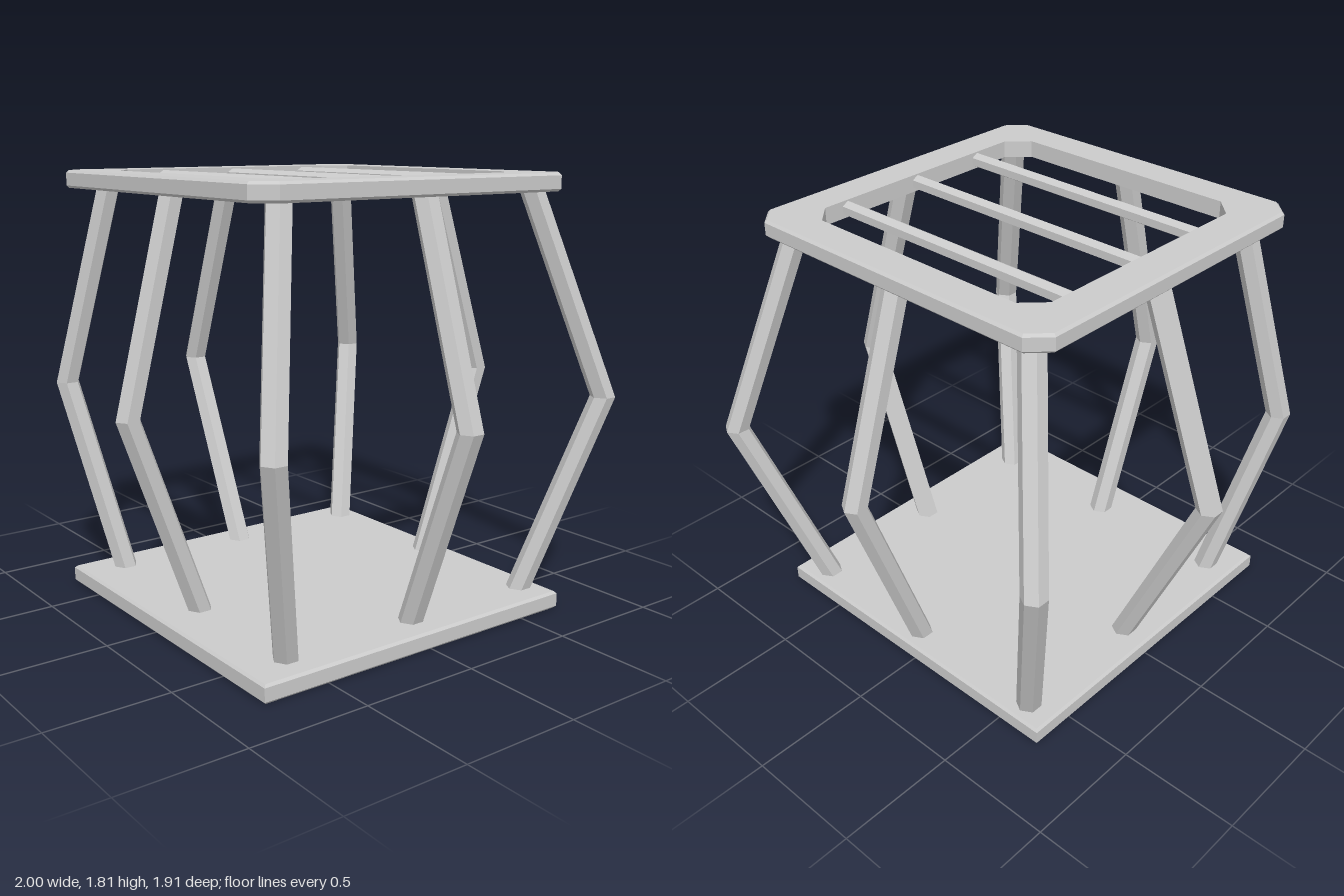
import * as THREE from 'three';

const solid = new THREE.MeshStandardMaterial({ color: 0xcccccc, flatShading: true });
const sheet = new THREE.MeshStandardMaterial({ color: 0xcccccc, flatShading: true, side: THREE.DoubleSide });

// Corners of a rectangle in x and z, with cut corners if cut > 0
function outline(x0, x1, z0, z1, cut, inset = 0) {
  x0 += inset; x1 -= inset; z0 += inset; z1 -= inset;
  if (!cut) return [[x0, z0], [x0, z1], [x1, z1], [x1, z0]];
  const c = cut - inset * 0.586;
  return [[x0, z0 + c], [x0, z1 - c], [x0 + c, z1], [x1 - c, z1],
    [x1, z1 - c], [x1, z0 + c], [x1 - c, z0], [x0 + c, z0]];
}

// Skin stacked loops of [x, y, z] points, counter-clockwise from above, lowest first
function loft(loops, closed) {
  const pos = [];
  const n = loops[0].length;
  for (let k = 0; k + 1 < loops.length; k++) {
    for (let i = 0; i < n; i++) {
      const j = (i + 1) % n;
      const a = loops[k][i], b = loops[k][j], c = loops[k + 1][j], d = loops[k + 1][i];
      pos.push(...a, ...b, ...c, ...a, ...c, ...d);
    }
  }
  if (closed) {
    const lo = loops[0], hi = loops[loops.length - 1];
    for (let i = 1; i + 1 < n; i++) {
      pos.push(...lo[0], ...lo[i + 1], ...lo[i], ...hi[0], ...hi[i], ...hi[i + 1]);
    }
  }
  const g = new THREE.BufferGeometry();
  g.setAttribute('position', new THREE.Float32BufferAttribute(pos, 3));
  g.computeVertexNormals();
  return g;
}

function addMesh(parent, name, geometry, material) {
  const m = new THREE.Mesh(geometry, material);
  m.name = name;
  parent.add(m);
  return m;
}

// Shallow tray open underneath: bevelled rim, flat top, optional opening
function tray(name, y, h, cut, hole) {
  const g = new THREE.Group();
  g.name = name;
  const bevel = 0.01;
  const ring = (inset, yy) => outline(-0.71, 0.785, -0.7, 0.79, cut, inset).map(([x, z]) => [x, yy, z]);
  addMesh(g, name + 'Rim', loft([ring(bevel, y), ring(0, y + bevel), ring(0, y + h - bevel), ring(bevel, y + h)]), sheet);
  const toShape = (pts) => pts.map(([x, z]) => new THREE.Vector2(x, -z));
  const shape = new THREE.Shape(toShape(outline(-0.71, 0.785, -0.7, 0.79, cut, bevel)));
  if (hole) {
    shape.holes.push(new THREE.Path(toShape(hole)));
    const inner = (yy) => hole.map(([x, z]) => [x, yy, z]).reverse();
    addMesh(g, name + 'InnerWall', loft([inner(y), inner(y + h)]), sheet);
  }
  const top = new THREE.ShapeGeometry(shape);
  top.rotateX(-Math.PI / 2).translate(0, y + h, 0);
  addMesh(g, name + 'Top', top, sheet);
  return g;
}

// Six-sided post bent outward at mid height
function post(bottom, middle, top) {
  const r = 0.052;
  const path = [[bottom, 0.02], [bottom, 0.07], [middle, 0.9], [top, 1.74], [top, 1.79]];
  return loft(path.map(([[x, z], y]) => Array.from({ length: 6 }, (_, i) => {
    const t = i * Math.PI / 3;
    return [x + r * Math.sin(t), y, z + r * Math.cos(t)];
  })), true);
}

export function createModel() {
  const model = new THREE.Group();
  model.name = 'cage';

  // Base plate and open top frame
  model.add(tray('base', 0, 0.075, 0, null));
  model.add(tray('topFrame', 1.74, 0.072, 0.077, outline(-0.55, 0.63, -0.55, 0.635, 0.085)));

  // Posts: bottom, middle and top centres as [x, z]
  const posts = [
    ['frontPost', [0.045, 0.6], [0.045, 0.9], [0.045, 0.69]],
    ['backPost', [0.045, -0.61], [0.045, -0.905], [0.045, -0.63]],
    ['leftPost', [0.645, -0.005], [0.955, -0.005], [0.685, -0.005]],
    ['rightPost', [-0.585, -0.005], [-0.955, -0.005], [-0.645, -0.005]],
    ['frontLeftPost', [0.645, 0.6], [0.872, 0.806], [0.645, 0.62]],
    ['frontRightPost', [-0.585, 0.6], [-0.77, 0.758], [-0.595, 0.62]],
    ['backLeftPost', [0.645, -0.61], [0.829, -0.876], [0.645, -0.61]],
    ['backRightPost', [-0.585, -0.61], [-0.808, -0.828], [-0.595, -0.61]],
  ];
  for (const [name, b, m, t] of posts) addMesh(model, name, post(b, m, t), solid);

  // Three roof bars across the opening, ends passing through the inner wall
  const bars = new THREE.Group();
  bars.name = 'roofBars';
  for (const z of [-0.35, 0.027, 0.378]) {
    const g = new THREE.CylinderGeometry(0.032, 0.032, 1.24, 6);
    g.rotateY(Math.PI / 6).rotateZ(Math.PI / 2);
    addMesh(bars, 'roofBar', g, solid).position.set(0.04, 1.775, z);
  }
  model.add(bars);

  return model;
}
